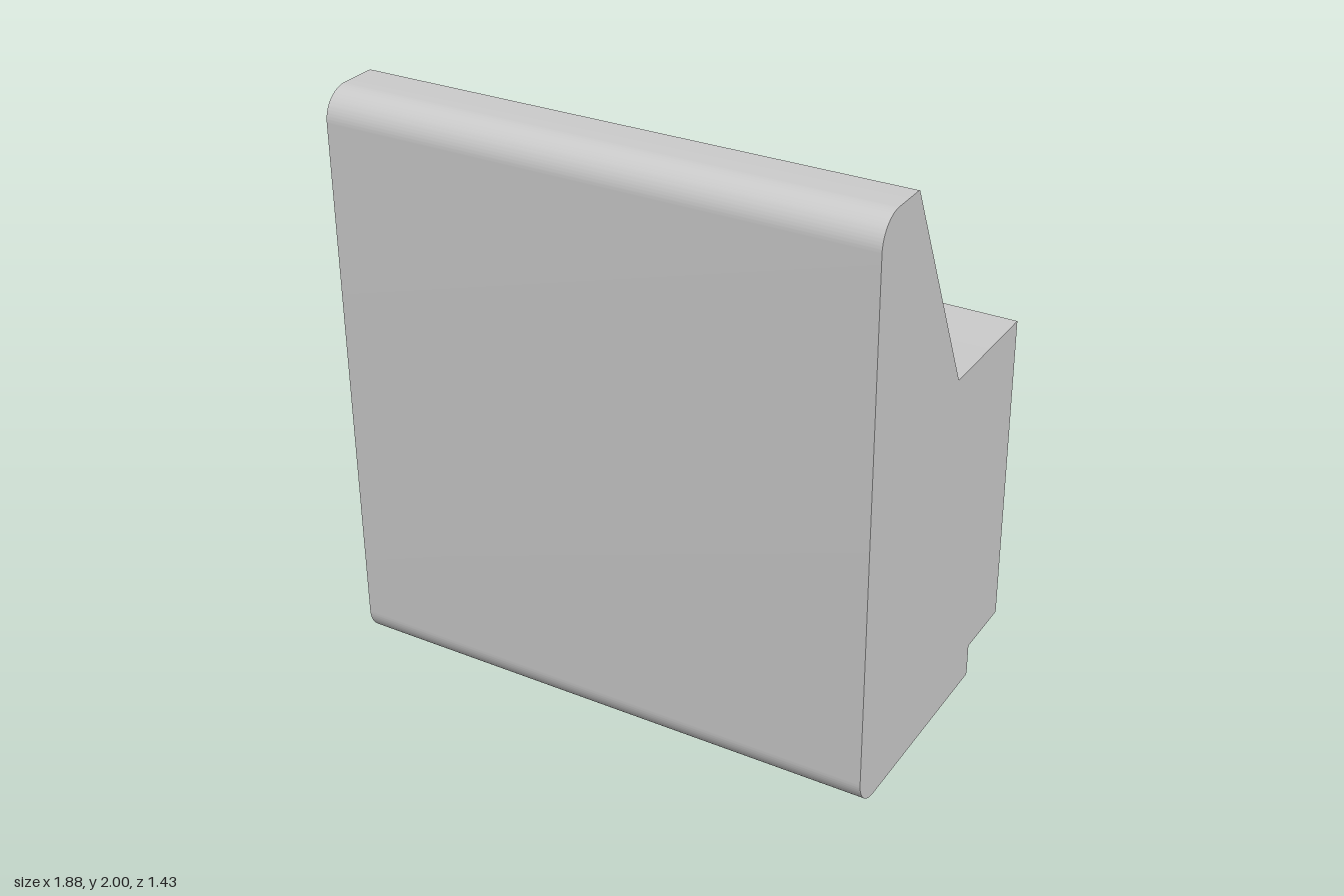
import * as THREE from 'three';
import { toCreasedNormals } from 'three/addons/utils/BufferGeometryUtils.js';

const WIDTH = 1.88;
const FRONT = 0.715, BACK = -0.33;
const PIN_Y = 0.763, PIN_RADIUS = 0.012, PIN_END = -0.715;

// Side profile: [z, y, corner radius], walked around the outline
const PROFILE = [
  [FRONT, 0, 0.1],
  [FRONT, 2, 0.1],
  [0.485, 2, 0.01],
  [0.125, 1.235, 0.01],
  [BACK, 1.235, 0],
  [BACK, 0.115, 0],
  [-0.1, 0.115, 0],
  [-0.1, 0, 0.01],
];

// Closed shape whose corners are rounded with tangent arcs
function roundedShape(corners) {
  const pts = corners.map(([z, y]) => new THREE.Vector2(-z, y));
  const n = pts.length;
  const shape = new THREE.Shape();
  pts.forEach((p, i) => {
    const r = corners[i][2];
    const toPrev = pts[(i + n - 1) % n].clone().sub(p).normalize();
    const toNext = pts[(i + 1) % n].clone().sub(p).normalize();
    const half = Math.acos(toPrev.dot(toNext)) / 2;
    const cut = r / Math.tan(half);
    const a = p.clone().addScaledVector(toPrev, cut);
    const b = p.clone().addScaledVector(toNext, cut);
    if (i === 0) shape.moveTo(a.x, a.y);
    else shape.lineTo(a.x, a.y);
    if (r === 0) return;
    const c = toPrev.clone().add(toNext).normalize().multiplyScalar(r / Math.sin(half)).add(p);
    const start = Math.atan2(a.y - c.y, a.x - c.x);
    const end = Math.atan2(b.y - c.y, b.x - c.x);
    const clockwise = toPrev.cross(toNext) > 0;
    shape.absarc(c.x, c.y, r, start, end, clockwise);
  });
  shape.closePath();
  return shape;
}

export function createModel() {
  const model = new THREE.Group();
  model.name = 'pinHousing';
  const material = new THREE.MeshStandardMaterial({ color: 0xcccccc });

  // Housing: the side profile extruded across the full width
  const extruded = new THREE.ExtrudeGeometry(roundedShape(PROFILE), {
    depth: WIDTH, bevelEnabled: false, curveSegments: 16,
  });
  extruded.translate(0, 0, -WIDTH / 2);
  extruded.rotateY(Math.PI / 2);
  const housing = new THREE.Mesh(toCreasedNormals(extruded, 0.4), material);
  housing.name = 'housing';
  model.add(housing);

  // Four thin round pins out of the back
  const root = BACK + 0.02;
  const pinGeometry = new THREE.CylinderGeometry(PIN_RADIUS, PIN_RADIUS, root - PIN_END, 24);
  pinGeometry.rotateX(Math.PI / 2);
  for (let i = 0; i < 4; i++) {
    const pin = new THREE.Mesh(pinGeometry, material);
    pin.name = `pin${i + 1}`;
    pin.position.set((i - 1.5) * 0.284, PIN_Y, (root + PIN_END) / 2);
    model.add(pin);
  }
  return model;
}
